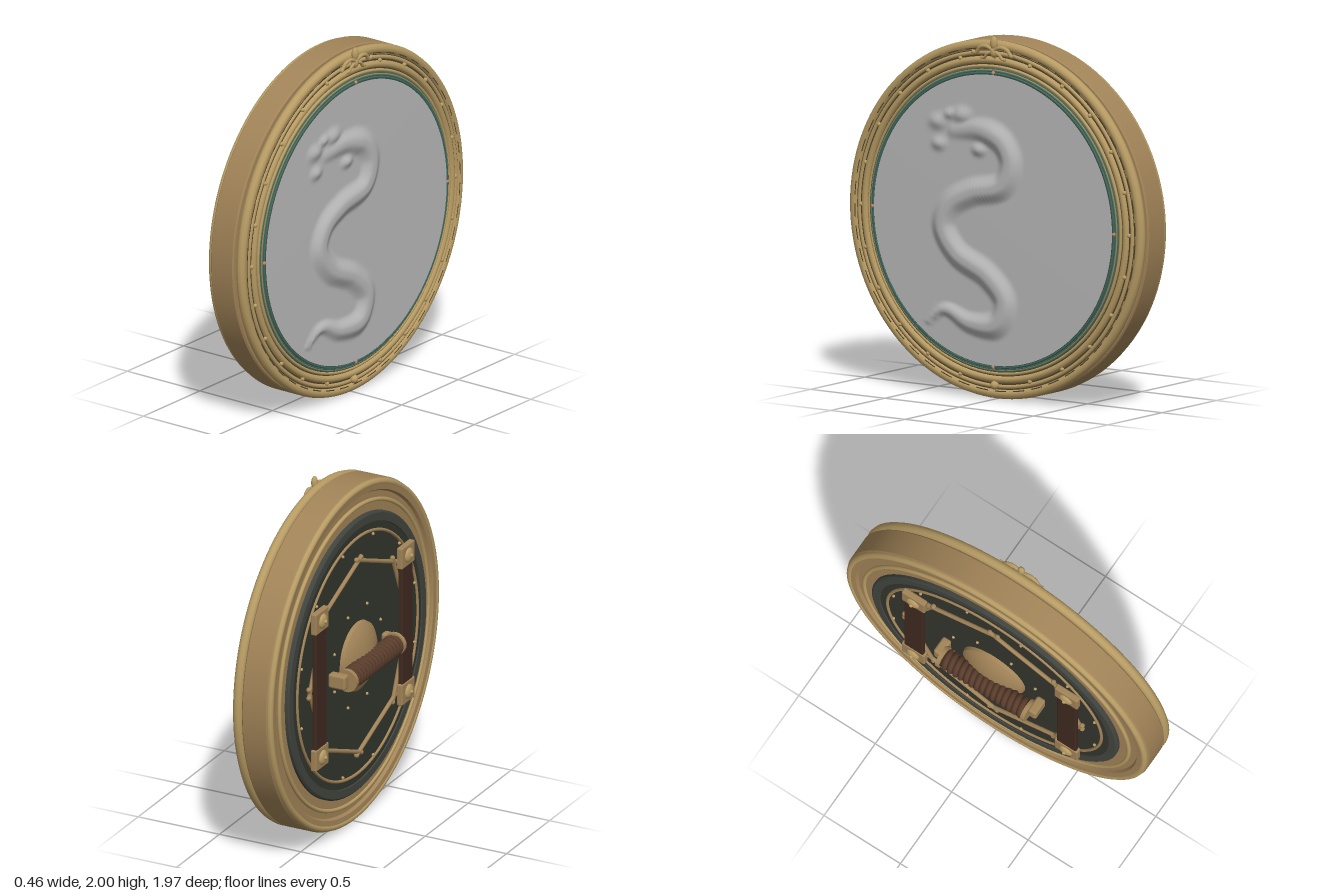
import * as THREE from 'three';
import { toCreasedNormals } from 'three/addons/utils/BufferGeometryUtils.js';
import { RoundedBoxGeometry } from 'three/addons/geometries/RoundedBoxGeometry.js';

const mat = (name, color, side = THREE.FrontSide) => {
  const m = new THREE.MeshStandardMaterial({ color, side });
  m.name = name;
  return m;
};

export function createModel() {
  const bronze = mat('bronze', 0xa28458);
  const brass = mat('brass', 0xb89c64);
  const shadowBronze = mat('dark bronze', 0x4d422c);
  const teal = mat('verdigris', 0x3c6a60);
  const silver = mat('silver', 0xb8b8b8);
  const backing = mat('dark backing', 0x33352d);
  const slate = mat('slate rim', 0x42453f);
  const leather = mat('leather', 0x402a20);
  const wrap = mat('wrapped leather', 0x5a3d2c);
  const copper = mat('copper', 0xb98a6c);

  const model = new THREE.Group();
  const shield = new THREE.Group();
  shield.name = 'shield';
  shield.position.y = 0.987;
  model.add(shield);

  const add = (name, geo, material, x = 0, y = 0, z = 0) => {
    const m = new THREE.Mesh(geo, material);
    m.name = name;
    m.position.set(x, y, z);
    shield.add(m);
    return m;
  };
  // Turned part about the x axis; profile is [radius, x], listed back to front
  const turned = (name, profile, material) => {
    const g = new THREE.LatheGeometry(profile.map(p => new THREE.Vector2(...p)), 128);
    g.rotateZ(-Math.PI / 2);
    return add(name, toCreasedNormals(g, 0.6), material);
  };
  const ring = (name, r, tube, x, material) =>
    add(name, new THREE.TorusGeometry(r, tube, 10, 128).rotateY(Math.PI / 2), material, x);
  // Spheres spaced evenly round a circle
  const studs = (name, count, r, size, x, material, offset = 0) => {
    for (let i = 0; i < count; i++) {
      const a = offset + i / count * Math.PI * 2;
      add(name, new THREE.SphereGeometry(size, 10, 8), material, x, r * Math.sin(a), r * Math.cos(a));
    }
  };
  const tube = (name, pts, radius, material) => {
    const curve = new THREE.CatmullRomCurve3(pts.map(p => new THREE.Vector3(...p)));
    return add(name, new THREE.TubeGeometry(curve, 24, radius, 8), material);
  };

  // Drum-shaped body and back steps
  turned('bodyBand', [[0.78, -0.062], [0.86, -0.062], [0.87, -0.05], [0.91, -0.05], [0.92, -0.066], [0.965, -0.07],
    [0.978, -0.062], [0.98, -0.05], [0.987, -0.042], [0.987, 0.1], [0.98, 0.108], [0.95, 0.11], [0.95, 0.12]], bronze);
  ring('backRim', 0.962, 0.02, -0.054, brass);
  ring('backInnerRim', 0.865, 0.012, -0.06, brass);

  // Front rim and stepped mouldings
  turned('frontBase', [[0.95, 0.11], [0.96, 0.15], [0.92, 0.16], [0.86, 0.16], [0.84, 0.165], [0.8, 0.165]], bronze);
  const rim = ring('frontRim', 0.959, 0.028, 0.143, brass);
  rim.scale.x = 1;
  ring('frontBead', 0.917, 0.012, 0.158, brass);
  ring('frontMoulding', 0.878, 0.02, 0.16, brass);
  ring('innerBead', 0.845, 0.009, 0.168, brass);
  for (const [r0, r1, x] of [[0.898, 0.906, 0.1625], [0.853, 0.86, 0.1635], [0.928, 0.933, 0.1605]])
    turned('rimGroove', [[r1, x], [r0, x]], shadowBronze);
  for (let i = 0; i < 48; i++) {
    const g = new THREE.RingGeometry(0.939, 0.945, 4, 1, i / 48 * Math.PI * 2, 0.08);
    add('rimDash', g.rotateY(Math.PI / 2), shadowBronze, 0.17);
  }
  ring('tealBeadOuter', 0.831, 0.007, 0.17, teal);
  ring('tealBeadMiddle', 0.819, 0.007, 0.176, teal);
  ring('tealBeadInner', 0.808, 0.007, 0.182, teal);
  ring('bronzeBead', 0.825, 0.005, 0.177, bronze);
  turned('faceWall', [[0.803, 0.16], [0.803, 0.186], [0.797, 0.188]], shadowBronze);
  studs('rimStud', 24, 0.9, 0.012, 0.168, brass);
  studs('faceMarker', 4, 0.81, 0.012, 0.183, copper);

  // Silver face with a serpent raised in low relief
  const path = new THREE.CatmullRomCurve3([[0.26, 0.47], [0.08, 0.49], [-0.06, 0.44], [-0.12, 0.33], [-0.07, 0.2],
    [0.14, 0.14], [0.28, 0.06], [0.33, -0.06], [0.24, -0.2], [0.03, -0.31], [-0.08, -0.44], [-0.03, -0.57],
    [0.15, -0.58], [0.32, -0.52], [0.44, -0.6]].map(([z, y]) => new THREE.Vector3(0, y, z))).getPoints(140);
  const bumps = [[0.37, 0.51, 0.06], [0.21, 0.56, 0.065], [0.36, 0.39, 0.05], [0.09, 0.38, 0.05], [0.29, 0.56, 0.04]];
  const relief = (y, z) => {
    let h = 0;
    path.forEach((p, i) => {
      const t = i / 140;
      const w = 0.09 * Math.min(1, 0.2 + (1 - t) * 4) * Math.min(1, 0.6 + t * 4);
      const d = Math.hypot(y - p.y, z - p.z) / w;
      const tall = 0.034 * Math.min(1, 0.3 + t * 6, 0.35 + (1 - t) * 3);
      h = Math.max(h, tall * (1 - THREE.MathUtils.smoothstep(d, 0.15, 1)));
    });
    for (const [bz, by, r] of bumps)
      h = Math.max(h, 0.02 * (1 - THREE.MathUtils.smoothstep(Math.hypot((z - bz) * 0.7, y - by) / r, 0, 1)));
    return h;
  };
  const face = new THREE.RingGeometry(0.001, 0.8, 192, 72).rotateY(Math.PI / 2);
  const pos = face.attributes.position;
  for (let i = 0; i < pos.count; i++) {
    const y = pos.getY(i), z = pos.getZ(i);
    pos.setX(i, 0.188 + 0.004 * (1 - (y * y + z * z) / 0.64) + relief(y, z));
  }
  face.computeVertexNormals();
  add('reliefFace', face, silver);

  // Crest at the top and knob at the bottom
  add('crestKnob', new THREE.SphereGeometry(1, 16, 12), brass, 0.18, 0.975, 0).scale.set(0.018, 0.038, 0.022);
  add('crestBase', new THREE.SphereGeometry(1, 16, 12), brass, 0.178, 0.925, 0).scale.set(0.02, 0.03, 0.025);
  for (const s of [-1, 1]) {
    tube('crestArm', [[0.182, 0.935, 0], [0.186, 0.955, s * 0.05], [0.184, 0.945, s * 0.09], [0.18, 0.912, s * 0.12],
      [0.18, 0.918, s * 0.145]], 0.011, brass);
    tube('crestCurl', [[0.182, 0.93, 0], [0.188, 0.915, s * 0.04], [0.184, 0.892, s * 0.06], [0.18, 0.89, s * 0.085]],
      0.009, brass);
  }
  add('lowerKnob', new THREE.SphereGeometry(0.024, 14, 10), brass, 0.172, -0.91, 0);

  // Back plate
  turned('slateRim', [[0.745, -0.075], [0.75, -0.086], [0.795, -0.086], [0.805, -0.078], [0.805, -0.055]], slate);
  turned('backPlate', [[0, -0.08], [0.75, -0.08]], backing);
  ring('backRing', 0.7, 0.009, -0.082, bronze);
  studs('backStud', 12, 0.68, 0.009, -0.087, brass, Math.PI / 12);
  studs('innerStud', 8, 0.29, 0.009, -0.084, brass, Math.PI / 8);

  // Octagon of rods with overlapping ends
  for (let i = 0; i < 8; i++) {
    const a = (i + 0.5) * Math.PI / 4, mid = 0.57 * Math.cos(Math.PI / 8);
    const rod = add('backRod', new THREE.CylinderGeometry(0.012, 0.012, 0.49, 10), bronze,
      -0.092, mid * Math.sin(a), mid * Math.cos(a));
    rod.rotation.x = -a;
    for (const e of [-1, 1]) {
      const end = new THREE.Mesh(new THREE.SphereGeometry(0.015, 10, 8), bronze);
      end.name = 'rodEnd';
      end.position.y = e * 0.245;
      rod.add(end);
    }
  }

  // Leather arm straps with end plates and bosses
  for (const s of [-1, 1]) {
    add('armStrap', new RoundedBoxGeometry(0.028, 0.9, 0.125, 2, 0.008), leather, -0.115, 0.008, s * 0.5);
    for (const e of [-1, 1]) {
      const y = 0.008 + e * 0.405;
      add('strapPlate', new RoundedBoxGeometry(0.036, 0.125, 0.15, 2, 0.008), bronze, -0.116, y, s * 0.5);
      add('strapBoss', new THREE.SphereGeometry(1, 16, 10), brass, -0.134, y, s * 0.5).scale.set(0.018, 0.042, 0.042);
      add('strapRivet', new THREE.SphereGeometry(0.012, 10, 8), brass, -0.15, y, s * 0.5);
    }
  }

  // Central dome and wrapped grip
  turned('centreDome', [[0, -0.157], [0.06, -0.153], [0.12, -0.138], [0.17, -0.118], [0.195, -0.1], [0.2, -0.078]], bronze);
  add('gripCore', new THREE.CylinderGeometry(0.052, 0.052, 0.56, 20).rotateX(Math.PI / 2), leather, -0.17, -0.02, 0);
  for (let i = 0; i < 15; i++) {
    const t = add('gripWrap', new THREE.TorusGeometry(0.046, 0.017, 8, 24), wrap, -0.17, -0.02, -0.245 + i * 0.035);
    t.rotation.y = 0.16;
  }
  for (const s of [-1, 1]) {
    add('gripCollar', new THREE.CylinderGeometry(0.065, 0.065, 0.024, 24).rotateX(Math.PI / 2), bronze, -0.168, -0.02, s * 0.278);
    add('gripMount', new RoundedBoxGeometry(0.105, 0.085, 0.055, 3, 0.015), bronze, -0.13, -0.02, s * 0.308);
  }
  return model;
}
